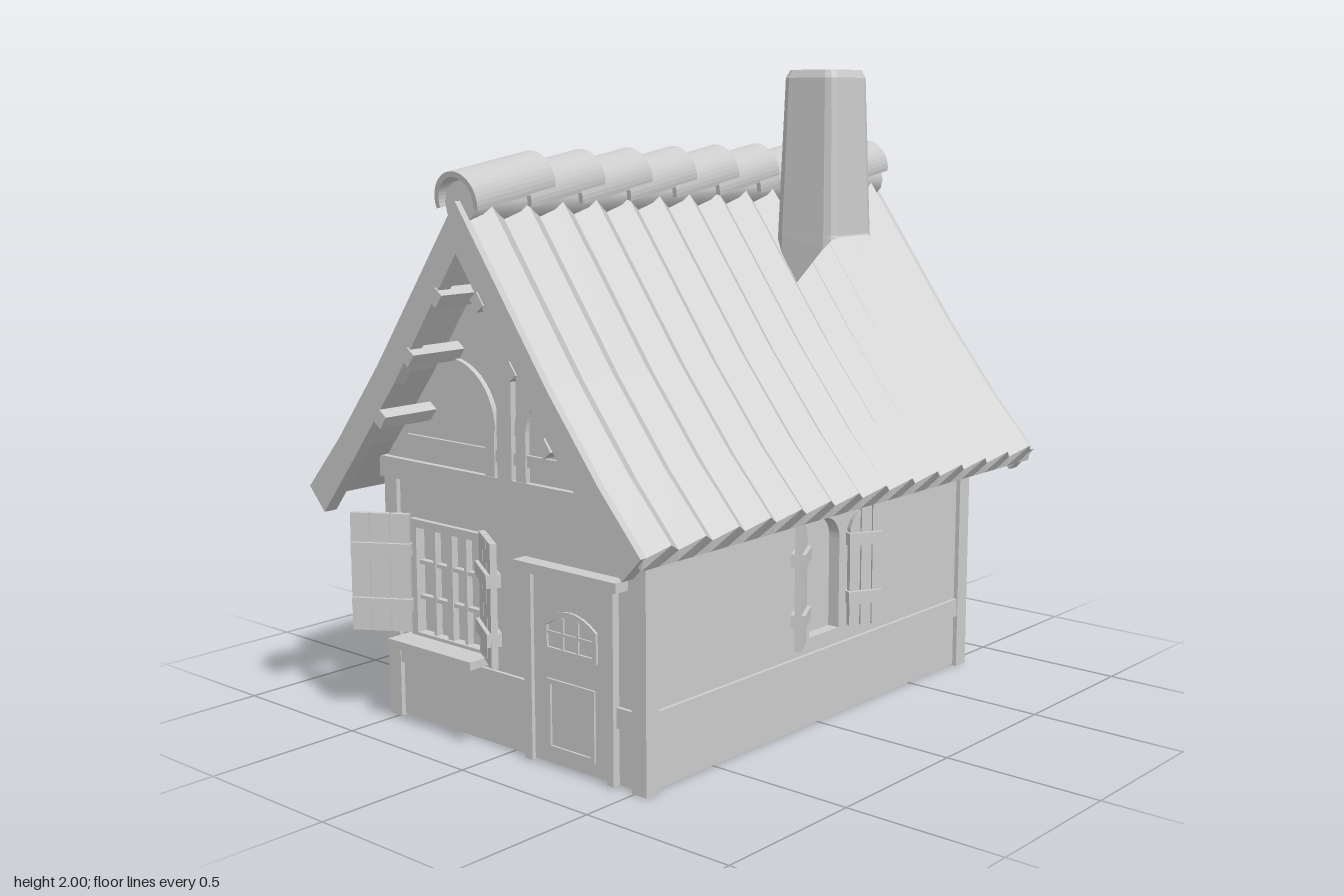
import * as THREE from 'three';

const mat = new THREE.MeshStandardMaterial({ color: 0xcccccc });
mat.name = 'plainGrey';

function add(parent, name, geo) {
  const m = new THREE.Mesh(geo, mat);
  m.name = name;
  parent.add(m);
  return m;
}
// box given by its limits
function box(parent, name, x0, x1, y0, y1, z0, z1) {
  const g = new THREE.BoxGeometry(x1 - x0, y1 - y0, z1 - z0);
  g.translate((x0 + x1) / 2, (y0 + y1) / 2, (z0 + z1) / 2);
  return add(parent, name, g);
}
function plate(parent, name, shape, z0, depth, segs = 8) {
  const g = new THREE.ExtrudeGeometry(shape, { depth, bevelEnabled: false, curveSegments: segs });
  return add(parent, name, g.translate(0, 0, z0));
}
const poly = pts => new THREE.Shape(pts.map(p => new THREE.Vector2(...p)));
const rect = (x0, x1, y0, y1) => poly([[x0, y0], [x1, y0], [x1, y1], [x0, y1]]);

// faceted solid through equal cross-sections, with strip caps
function loft(sections, startCap = true) {
  const pos = [], n = sections[0].length, last = sections.length - 1;
  const tri = (...p) => p.forEach(v => pos.push(...v));
  for (let i = 0; i < last; i++) for (let j = 0; j < n; j++) {
    const k = (j + 1) % n, A = sections[i], B = sections[i + 1];
    tri(A[j], B[k], A[k]);
    tri(A[j], B[j], B[k]);
  }
  for (let j = 0; j < n / 2 - 1; j++) {
    const q = [j, j + 1, n - 2 - j, n - 1 - j], [a, b, c, d] = q.map(i => sections[0][i]);
    if (startCap) { tri(a, b, c); tri(a, c, d); }
    const [e, f, g, h] = q.map(i => sections[last][i]);
    tri(e, g, f); tri(e, h, g);
  }
  const geo = new THREE.BufferGeometry();
  geo.setAttribute('position', new THREE.Float32BufferAttribute(pos, 3));
  geo.computeVertexNormals();
  return geo;
}

// roof slope: points and the directions in which thickness grows
const slope = [[0, 1.70, 0, -1.67], [0.38, 1.17, -0.8, -0.6], [0.57, 0.93, -0.8, -0.62], [0.72, 0.765, -0.8, -0.7]];
function roofSection(s, z, top, bottom, [ex, ey]) {
  const at = d => slope.map(([x, y, ox, oy]) => [s * (x + ox * d), y + oy * d, z]);
  const under = at(bottom);
  under[3] = [s * ex, ey, z];
  const pts = [...at(top), ...under.reverse()];
  return s > 0 ? pts : pts.reverse();
}

function archShape(r, y0, yTop) {
  const sh = new THREE.Shape();
  sh.moveTo(-r, y0);
  sh.lineTo(r, y0);
  sh.lineTo(r, yTop - r);
  sh.absarc(0, yTop - r, r, 0, Math.PI, false);
  sh.lineTo(-r, y0);
  return sh;
}

// wall panel: local x runs to the right, z points outward
function facade(root, name, rotY, dist, half, holes) {
  const g = new THREE.Group();
  g.name = name;
  g.rotation.y = rotY;
  g.position.set(Math.sin(rotY) * dist, 0, Math.cos(rotY) * dist);
  root.add(g);
  const wall = rect(-half, half, 0.005, 0.79);
  wall.holes.push(...holes);
  plate(g, 'wall', wall, -0.015, 0.015);
  return g;
}
function lattice(parent, x0, x1, y0, y1) {
  const g = new THREE.Group();
  g.name = 'lattice';
  parent.add(g);
  for (let i = 0; i < 3; i++) {
    const x = x0 + 0.012 + (x1 - x0 - 0.024) * i / 2;
    box(g, 'latticeUpright', x - 0.01, x + 0.01, y0, y1, -0.025, 0.005);
  }
  for (let i = 0; i < 7; i++) {
    const y = y0 + (y1 - y0) * i / 6;
    box(g, 'latticeBar', x0 - 0.003, x1 + 0.003, y - 0.009, y + 0.009, -0.035, 0.014);
  }
}
function casement(parent, x0, x1, y0, y1) {
  const g = new THREE.Group();
  g.name = 'window';
  parent.add(g);
  const frame = rect(x0 - 0.028, x1 + 0.028, y0 - 0.02, y1 + 0.025);
  frame.holes.push(rect(x0, x1, y0, y1));
  plate(g, 'windowFrame', frame, -0.05, 0.068);
  box(g, 'pane', x0, x1, y0, y1, -0.021, -0.015);
  for (let i = 1; i < 4; i++) {
    const x = x0 + (x1 - x0) * i / 4, t = i === 2 ? 0.012 : 0.006;
    box(g, 'mullion', x - t, x + t, y0, y1, -0.042, 0.008);
  }
  for (let i = 1; i < 3; i++) {
    const y = y0 + (y1 - y0) * i / 3;
    box(g, 'glazingBar', x0, x1, y - 0.006, y + 0.006, -0.038, 0.005);
  }
  box(g, 'windowSill', x0 - 0.045, x1 + 0.045, y0 - 0.035, y0 - 0.01, 0, 0.1);
}
// planked leaf hinged at hx, opened outward by a
function shutter(parent, hx, side, a, w, y0, y1, arched) {
  const g = new THREE.Group();
  g.name = 'shutter';
  g.position.set(hx, 0, 0.022);
  g.rotation.y = side > 0 ? -a : Math.PI + a;
  parent.add(g);
  const top = x => arched ? y1 - 0.9 * (w - Math.sqrt(w * w - (w - x) ** 2)) : y1;
  for (let i = 0; i < 3; i++) {
    const x0 = w * i / 3 + 0.002, x1 = w * (i + 1) / 3 - 0.002, pts = [[x0, y0], [x1, y0]];
    for (let k = 4; k >= 0; k--) { const x = x0 + (x1 - x0) * k / 4; pts.push([x, top(x)]); }
    plate(g, 'shutterPlank', poly(pts), -0.01, 0.02);
  }
  for (const f of [0.23, 0.7]) {
    const y = y0 + (y1 - y0) * f;
    box(g, 'shutterBatten', -0.005, w - 0.005, y - 0.02, y + 0.02, -0.022, 0.022);
  }
}

export function createModel() {
  const root = new THREE.Group();
  root.name = 'cottage';
  const P = Math.PI;

  // walls
  const front = facade(root, 'frontWall', 0, 0.795, 0.53, [rect(-0.4, -0.12, 0.29, 0.62)]);
  const back = facade(root, 'backWall', P, 0.795, 0.53, [rect(-0.48, -0.28, 0.25, 0.69), rect(-0.24, -0.04, 0.25, 0.69)]);
  const right = facade(root, 'archedWindowWall', P / 2, 0.53, 0.795, [archShape(0.08, 0.29, 0.655)]);
  const left = facade(root, 'latticeWall', -P / 2, 0.53, 0.795,
    [rect(-0.14, 0.18, 0.29, 0.64), rect(0.26, 0.445, 0.25, 0.69), rect(0.48, 0.665, 0.25, 0.69)]);

  // posts and rails
  for (const sx of [-1, 1]) for (const sz of [-1, 1]) {
    const x = sx * 0.5175, z = sz * 0.7825;
    box(root, 'cornerPost', x - 0.0275, x + 0.0275, 0, 0.76, z - 0.0275, z + 0.0275);
  }
  for (const [wall, x0, x1] of [[front, -0.49, 0.08], [front, 0.43, 0.49], [back, -0.49, 0.49], [left, -0.755, 0.755], [right, -0.755, 0.755]])
    box(wall, 'rail', x0, x1, 0.175, 0.235, -0.005, 0.012);

  // windows and shutters
  casement(front, -0.4, -0.12, 0.29, 0.62);
  shutter(front, -0.42, -1, 0.56, 0.19, 0.29, 0.66);
  shutter(front, -0.1, 1, 0.56, 0.18, 0.29, 0.66);
  casement(left, -0.14, 0.18, 0.29, 0.64);
  lattice(left, 0.26, 0.445, 0.25, 0.69);
  lattice(left, 0.48, 0.665, 0.25, 0.69);
  lattice(back, -0.48, -0.28, 0.25, 0.69);
  lattice(back, -0.24, -0.04, 0.25, 0.69);
  const arch = archShape(0.11, 0.27, 0.69);
  arch.holes.push(archShape(0.075, 0.29, 0.65));
  plate(right, 'archFrame', arch, -0.05, 0.065);
  plate(right, 'archPane', archShape(0.078, 0.28, 0.653), -0.03, 0.006);
  for (const s of [-1, 1]) shutter(right, s * 0.112, s, 0.5, 0.115, 0.29, 0.685, true);

  // door
  const door = new THREE.Group();
  door.name = 'door';
  front.add(door);
  const jamb = poly([[0.075, 0.005], [0.105, 0.005], [0.105, 0.565], [0.405, 0.565], [0.405, 0.005], [0.43, 0.005], [0.43, 0.58], [0.075, 0.58]]);
  plate(door, 'doorFrame', jamb, -0.04, 0.065);
  box(door, 'doorLeaf', 0.105, 0.405, 0.01, 0.565, -0.025, 0.012);
  box(door, 'doorLintel', 0.06, 0.465, 0.575, 0.605, 0, 0.05);
  const fan = (x0, x1, y0, ys, yt) => {
    const s = new THREE.Shape();
    s.moveTo(x0, y0);
    s.lineTo(x1, y0);
    s.lineTo(x1, ys);
    s.quadraticCurveTo((x0 + x1) / 2, yt, x0, ys);
    return s;
  };
  const light = fan(0.15, 0.36, 0.345, 0.435, 0.515);
  light.holes.push(fan(0.165, 0.345, 0.36, 0.425, 0.495));
  plate(door, 'doorLightFrame', light, 0.01, 0.01);
  for (const x of [0.225, 0.285]) box(door, 'doorLightBar', x - 0.004, x + 0.004, 0.36, 0.452, 0.01, 0.018);
  box(door, 'doorLightBar', 0.165, 0.345, 0.4, 0.408, 0.01, 0.018);
  const panel = rect(0.16, 0.35, 0.05, 0.265);
  panel.holes.push(rect(0.175, 0.335, 0.065, 0.25));
  plate(door, 'doorPanel', panel, 0.01, 0.009);

  // timbered gables
  for (const rot of [0, P]) {
    const g = new THREE.Group();
    g.name = 'gable';
    g.rotation.y = rot;
    root.add(g);
    plate(g, 'gableWall', poly([[-0.54, 0.76], [0.54, 0.76], [0.54, 0.83], [0, 1.56], [-0.54, 0.83]]), 0.78, 0.015);
    box(g, 'tieBeam', -0.56, 0.56, 0.76, 0.825, 0.78, 0.815);
    box(g, 'collarBeam', -0.44, 0.44, 0.87, 0.905, 0.79, 0.807);
    box(g, 'kingPost', -0.03, 0.03, 0.82, 1.5, 0.79, 0.815);
    for (const s of [-1, 1]) {
      const b = new THREE.Shape(), a0 = s > 0 ? P : 0, a1 = s > 0 ? P * 0.54 : P * 0.46;
      b.moveTo(s * 0.045, 0.82);
      b.lineTo(s * 0.045, 0.96);
      b.absarc(s * 0.24, 0.96, 0.2, a0, a1, s > 0);
      b.absarc(s * 0.24, 0.96, 0.155, a1, a0, s < 0);
      b.lineTo(s * 0.085, 0.82);
      plate(g, 'curvedBrace', b, 0.79, 0.022);
    }
  }

  // roof slopes with folded tiles, barge boards and purlins
  for (const s of [-1, 1]) {
    const rows = [];
    for (let i = 0; i <= 28; i++) rows.push(roofSection(s, -0.97 + i * 1.94 / 28, i % 2 ? 0 : 0.045, 0.085, [0.675, 0.7]));
    add(root, 'roofSlope', loft(rows));
    for (const z of [-0.985, 0.94])
      add(root, 'bargeBoard', loft([0, 0.045].map(d => roofSection(s, z + d, 0.04, 0.126, [0.62, 0.665]))));
    for (const [x, y] of [[0.085, 1.36], [0.21, 1.18], [0.34, 0.985]]) {
      const p = add(root, 'purlin', new THREE.BoxGeometry(0.045, 0.035, 1.98));
      p.position.set(s * x, y, 0);
      p.rotation.z = -s * 0.94;
    }
  }

  // ridge beam under overlapping ridge tiles
  const beam = add(root, 'ridgeBeam', new THREE.CylinderGeometry(0.062, 0.062, 1.93, 12));
  beam.rotation.x = P / 2;
  beam.position.y = 1.628;
  const ring = new THREE.Shape();
  ring.absarc(0, 0, 0.086, -0.25, P + 0.25, false);
  ring.absarc(0, 0, 0.07, P + 0.25, -0.25, true);
  for (let i = 0; i < 9; i++) {
    const t = plate(root, 'ridgeTile', ring, 0, 0.305, 12);
    t.position.set(0, 1.68, 0.68 - i * 0.205);
    t.rotation.x = 0.165;
  }

  // hollow tapered chimney with a slanted open foot
  const levels = [[0.117, null], [0.115, 1.48], [0.099, 1.975], [0.088, 2], [0.066, 2], [0.056, 1.985], [0.056, 1.7]];
  add(root, 'chimney', loft(levels.map(([h, y]) => {
    const pts = [], r = h * 0.28;
    for (let c = 0; c < 4; c++) for (let k = 0; k < 3; k++) {
      const q = P / 4 + c * P / 2, t = c * P / 2 + k * P / 4;
      const x = 0.233 + Math.sign(Math.cos(q)) * (h - r) + r * Math.cos(t);
      const z = -0.395 + Math.sign(Math.sin(q)) * (h - r) + r * Math.sin(t);
      pts.push([x, y ?? 1.475 - (0.35 - x) * 1.1, z]);
    }
    return pts;
  }), false));

  return root;
}
